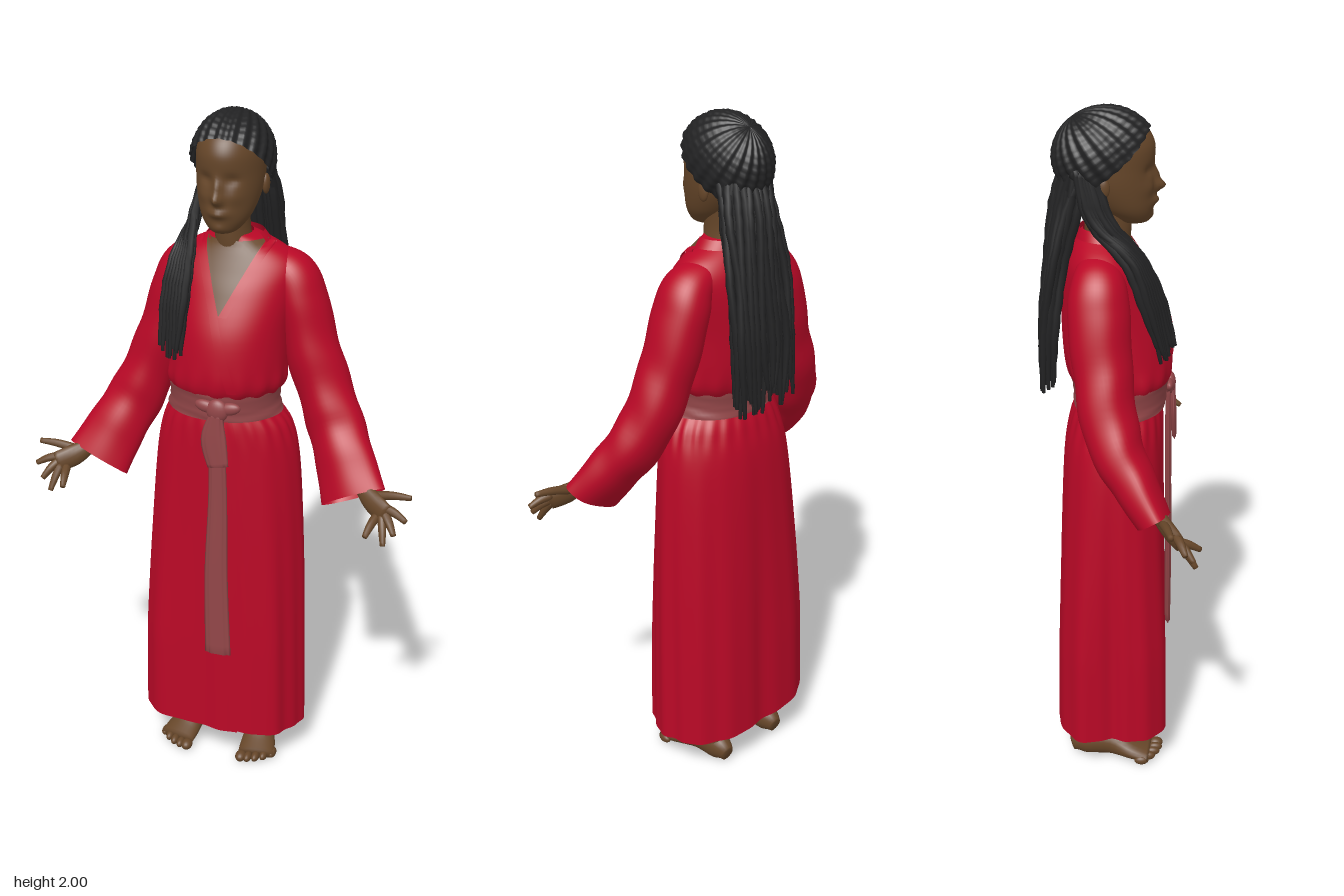
import * as THREE from 'three';
import { mergeVertices } from 'three/addons/utils/BufferGeometryUtils.js';

const flat = (name, color) => Object.assign(new THREE.MeshStandardMaterial({ color, side: THREE.DoubleSide }), { name });

// Smooth sampling of rows of numbers, t from 0 to 1
function sample(keys, t) {
  const f = t * (keys.length - 1), i = Math.min(Math.floor(f), keys.length - 2), s = f - i;
  const at = k => keys[Math.max(0, Math.min(keys.length - 1, k))];
  const [a, b, c, d] = [at(i - 1), at(i), at(i + 1), at(i + 2)];
  return b.map((_, k) => b[k] + 0.5 * s * (c[k] - a[k] + s * (2 * a[k] - 5 * b[k] + 4 * c[k] - d[k] + s * (3 * (b[k] - c[k]) + d[k] - a[k]))));
}

// Surface from a point rule over rows and columns
function grid(point, rows, cols) {
  const pos = [], index = [];
  for (let i = 0; i <= rows; i++) for (let j = 0; j <= cols; j++) pos.push(...point(i / rows, j / cols));
  for (let i = 0; i < rows; i++) for (let j = 0; j < cols; j++) {
    const a = i * (cols + 1) + j, c = a + cols + 1;
    index.push(a, a + 1, c, a + 1, c + 1, c);
  }
  let g = new THREE.BufferGeometry();
  g.setAttribute('position', new THREE.Float32BufferAttribute(pos, 3));
  g.setIndex(index);
  g = mergeVertices(g, 1e-5);
  g.computeVertexNormals();
  return g;
}

// Upright form from rings [y, centre x, half width, front z, back z]; angle 0 is the front
function loft(keys, rows, cols, fold = () => 1, from = 0, length = Math.PI * 2, rise = () => 0) {
  return grid((v, u) => {
    const [y, cx, rx, zf, zb] = sample(keys, v), p = from + u * length;
    const r = fold(p, y, u), cz = (zf + zb) / 2;
    return [cx + Math.sin(p) * rx * r, y + rise(p, y), cz + Math.cos(p) * (zf - zb) / 2 * r];
  }, rows, cols);
}

// Tapered sweep through rows [x, y, z, radius across, radius deep]
function sweep(keys, rows, cols, { cap = true, up = [0, 0, 1], fold = () => 1 } = {}) {
  const ref = new THREE.Vector3(...up);
  const centre = t => new THREE.Vector3(...sample(keys, t).slice(0, 3));
  return grid((w, u) => {
    let t = w, k = 1;
    if (cap) {
      const i = Math.round(w * rows);
      t = Math.min(1, Math.max(0, (i - 1) / (rows - 2)));
      k = i === 0 || i === rows ? 0 : 1;
    }
    const T = centre(Math.min(1, t + 0.01)).sub(centre(Math.max(0, t - 0.01))).normalize();
    const V = ref.clone().addScaledVector(T, -T.dot(ref)).normalize(), U = V.clone().cross(T);
    const [, , , a, b] = sample(keys, t), p = u * Math.PI * 2, r = k * fold(p, t);
    return centre(t).addScaledVector(U, Math.cos(p) * a * r).addScaledVector(V, Math.sin(p) * b * r).toArray();
  }, rows, cols);
}

const torsoKeys = [
  [1.18, -0.02, 0.145, 0.12, -0.105], [1.22, -0.02, 0.15, 0.135, -0.115], [1.26, -0.015, 0.17, 0.155, -0.135],
  [1.32, -0.01, 0.167, 0.157, -0.147], [1.42, -0.005, 0.165, 0.142, -0.152], [1.52, 0, 0.175, 0.1, -0.15],
  [1.58, 0, 0.18, 0.067, -0.14], [1.62, 0, 0.148, 0.045, -0.124], [1.65, 0, 0.09, 0.03, -0.105], [1.668, -0.005, 0.05, 0.03, -0.09]];

// Front of the torso at a given x and y
function chestZ(x, y) {
  let lo = 0, hi = 1;
  for (let i = 0; i < 24; i++) { const m = (lo + hi) / 2; sample(torsoKeys, m)[0] < y ? lo = m : hi = m; }
  const [, cx, rx, zf, zb] = sample(torsoKeys, lo);
  return (zf + zb) / 2 + (zf - zb) / 2 * Math.sqrt(Math.max(0, 1 - ((x - cx) / rx) ** 2));
}
const chestPatch = (y0, y1, left, right, lift) => grid((v, u) => {
  const y = y0 + (y1 - y0) * v, x = left(v) + (right(v) - left(v)) * u;
  return [x, y, chestZ(x, y) + lift];
}, 20, 10);

export function createModel() {
  const model = new THREE.Group();
  model.name = 'robedWoman';
  const red = flat('robe red', 0xb90826), rose = flat('sash rose', 0x924648);
  const skin = flat('brown skin', 0x664629), black = flat('black hair', 0x222223);
  const add = (name, geometry, material, parent = model) => {
    const m = new THREE.Mesh(geometry, material);
    m.name = name;
    parent.add(m);
    return m;
  };
  const ball = (name, material, p, s, parent) => {
    const m = add(name, new THREE.SphereGeometry(1, 20, 14), material, parent);
    m.position.set(...p);
    m.scale.set(...s);
    return m;
  };
  let seed = 7;
  const rand = () => (seed = (seed * 16807) % 2147483647) / 2147483647;

  // Skirt: one cloth wrapped past itself at the front, boxier on the right, folds growing towards an uneven hem
  const skirtKeys = [
    [0.11, -0.015, 0.24, 0.15, -0.175], [0.4, -0.015, 0.235, 0.146, -0.17], [0.7, -0.015, 0.228, 0.141, -0.163],
    [1.0, -0.015, 0.212, 0.136, -0.15], [1.12, -0.015, 0.188, 0.133, -0.13], [1.18, -0.02, 0.155, 0.125, -0.108], [1.22, -0.02, 0.145, 0.12, -0.1]];
  const skirtFold = (p, y, u) => {
    const d = Math.min(1, (1.22 - y) / 0.8);
    return 1 + d * (0.018 * Math.sin(9 * p + 1) + 0.011 * Math.sin(17 * p + y) + (0.14 - 0.11 * Math.sin(p)) * Math.sin(2 * p) ** 2)
      + 0.014 * Math.exp(-(((y - 1.13) / 0.05) ** 2)) * Math.sin(24 * p) - 0.07 * Math.max(0, 1 - u * 10);
  };
  const hemRise = (p, y) => Math.max(0, (0.4 - y) / 0.29) * (0.014 - 0.014 * Math.sin(p));
  add('skirt', loft(skirtKeys, 40, 180, skirtFold, 0.02, Math.PI * 2 + 0.3, hemRise), red);

  // Bodice, bloused over the sash
  add('bodice', loft(torsoKeys, 40, 96, (p, y) => 1 + 0.018 * Math.exp(-(((y - 1.25) / 0.05) ** 2)) * Math.sin(16 * p)), red);

  // Open neckline and crossed lapels
  const L = v => -0.075 * v, R = v => 0.09 * v;
  add('necklineSkin', chestPatch(1.47, 1.655, L, R, 0.004), skin);
  add('rightLapel', chestPatch(1.47, 1.65, v => L(v) - 0.024, L, 0.008), red);
  add('leftLapel', chestPatch(1.47, 1.65, R, v => R(v) + 0.024, 0.008), red);
  add('wrapEdge', chestPatch(1.26, 1.47, v => 0.035 - 0.06 * v, v => 0.06 - 0.06 * v, 0.008), red);
  add('backCollar', loft([[1.615, 0, 0.118, 0.045, -0.118], [1.648, 0, 0.094, 0.04, -0.108], [1.672, 0, 0.075, 0.035, -0.1]], 6, 40, () => 1, 1.25, Math.PI * 2 - 2.5), red);

  // Sash with knot, bow and hanging ends
  add('sash', loft([[1.165, -0.02, 0.168, 0.14, -0.122], [1.2, -0.02, 0.158, 0.143, -0.12], [1.245, -0.02, 0.162, 0.149, -0.127]], 8, 72,
    (p, y) => 1 + 0.01 * Math.sin(y * 220 + 2 * Math.sin(p * 3))), rose);
  ball('sashKnot', rose, [0.005, 1.205, 0.152], [0.032, 0.034, 0.018]);
  for (const s of [-1, 1]) ball('bowLoop', rose, [0.005 + s * 0.033, 1.213, 0.148], [0.034, 0.018, 0.014]).rotation.z = s * 0.2;
  const ripple = { fold: p => 1 + 0.12 * Math.cos(6 * p) };
  add('longSashEnd', sweep([[0, 1.2, 0.15, 0.02, 0.009], [0.005, 0.95, 0.152, 0.025, 0.009], [0, 0.68, 0.156, 0.032, 0.009], [0.005, 0.41, 0.158, 0.036, 0.008]], 20, 24, ripple), rose);
  add('shortSashEnd', sweep([[0.005, 1.2, 0.16, 0.016, 0.008], [-0.002, 1.12, 0.164, 0.034, 0.008], [0.012, 1.04, 0.168, 0.028, 0.006]], 12, 24, ripple), rose);

  // Arms: flared sleeve, palm and spread fingers
  for (const s of [1, -1]) {
    const arm = new THREE.Group();
    arm.name = s > 0 ? 'leftArm' : 'rightArm';
    model.add(arm);
    const side = keys => keys.map(([x, ...r]) => [x * s, ...r]);
    add('sleeve', sweep(side([[0.1, 1.595, -0.05, 0.04, 0.055], [0.153, 1.552, -0.05, 0.066, 0.075], [0.183, 1.48, -0.05, 0.072, 0.084], [0.225, 1.33, -0.04, 0.076, 0.08],
      [0.29, 1.17, -0.015, 0.08, 0.075], [0.345, 1.06, 0.042, 0.086, 0.063], [0.386, 0.973, 0.092, 0.096, 0.05]]), 48, 48,
    { cap: false, fold: (p, t) => 1 + 0.035 * Math.sin(t * 38 + 2 * Math.sin(p)) * Math.exp(-(((t - 0.62) / 0.2) ** 2)) + 0.025 * t * Math.sin(5 * p) }), red, arm);
    add('forearm', sweep(side([[0.3, 1.14, 0.01, 0.035, 0.035], [0.37, 1.05, 0.07, 0.028, 0.028], [0.43, 0.995, 0.113, 0.022, 0.018]]), 10, 16), skin, arm);
    add('palm', sweep(side([[0.41, 1.01, 0.1, 0.022, 0.018], [0.45, 0.985, 0.127, 0.032, 0.019], [0.493, 0.967, 0.155, 0.031, 0.014]]), 10, 16), skin, arm);
    const fingers = [['thumb', [0.45, 1.0, 0.115], [0.555, 1.017, 0.13]], ['indexFinger', [0.49, 0.985, 0.148], [0.552, 0.962, 0.168]],
      ['middleFinger', [0.49, 0.97, 0.153], [0.525, 0.927, 0.192]], ['ringFinger', [0.482, 0.96, 0.155], [0.498, 0.895, 0.2]], ['littleFinger', [0.465, 0.955, 0.15], [0.45, 0.922, 0.215]]];
    for (const [name, a, b] of fingers) {
      const mid = a.map((v, i) => (v + b[i]) / 2 + (i === 1 ? 0.004 : 0));
      add(name, sweep(side([[...a, 0.013, 0.013], [...mid, 0.0115, 0.0115], [...b, 0.0075, 0.0075]]), 9, 10), skin, arm);
    }
  }

  // Legs and bare feet, turned slightly out
  for (const s of [1, -1]) {
    const leg = new THREE.Group();
    leg.name = s > 0 ? 'leftLeg' : 'rightLeg';
    leg.position.x = s > 0 ? 0.082 : -0.13;
    model.add(leg);
    add('shin', sweep([[0, 0.04, -0.085, 0.036, 0.042], [0, 0.12, -0.075, 0.036, 0.042], [0, 0.32, -0.07, 0.05, 0.055], [0, 0.6, -0.04, 0.06, 0.065]], 16, 20), skin, leg);
    add('foot', sweep([[0, 0.032, -0.138, 0.02, 0.024], [0, 0.044, -0.1, 0.036, 0.044], [s * 0.004, 0.046, -0.02, 0.04, 0.045], [s * 0.018, 0.029, 0.05, 0.053, 0.029],
      [s * 0.026, 0.019, 0.1, 0.056, 0.019]], 18, 24, { up: [0, 1, 0] }), skin, leg);
    for (let i = 0; i < 5; i++) ball('toe', skin, [s * (-0.016 + i * 0.022), 0.016, 0.122 - i * i * 0.003], [i ? 0.012 : 0.017, i ? 0.014 : 0.016, 0.022], leg);
  }

  // Neck and head, the face shaped by soft bumps
  add('neck', loft([[1.55, -0.005, 0.065, 0.02, -0.1], [1.62, -0.005, 0.054, 0.036, -0.088], [1.69, -0.01, 0.047, 0.042, -0.085], [1.77, -0.01, 0.05, 0.04, -0.09]], 14, 32), skin);
  const head = loft([[1.685, -0.01, 0.002, 0.06, 0.05], [1.69, -0.01, 0.032, 0.085, 0.01], [1.71, -0.01, 0.054, 0.095, -0.02], [1.74, -0.01, 0.072, 0.1, -0.06], [1.79, -0.01, 0.086, 0.1, -0.105],
    [1.84, -0.01, 0.091, 0.1, -0.125], [1.9, -0.01, 0.09, 0.102, -0.135], [1.947, -0.01, 0.072, 0.074, -0.11], [1.972, -0.01, 0.035, 0.02, -0.06], [1.977, -0.01, 0.002, -0.01, -0.02]], 64, 72);
  const bumps = [[0, 1.785, 0.03, 0.014, 0.016], [0, 1.815, 0.014, 0.011, 0.022], [0, 1.747, 0.014, 0.026, 0.012], [0, 1.705, 0.006, 0.02, 0.012],
    [0.036, 1.835, -0.01, 0.02, 0.014], [-0.036, 1.835, -0.01, 0.02, 0.014], [0.045, 1.79, 0.006, 0.02, 0.02], [-0.045, 1.79, 0.006, 0.02, 0.02]];
  const hp = head.attributes.position;
  for (let i = 0; i < hp.count; i++) if (hp.getZ(i) > 0.02) {
    const x = hp.getX(i) + 0.01, y = hp.getY(i);
    hp.setZ(i, bumps.reduce((z, [bx, by, a, sx, sy]) => z + a * Math.exp(-(((x - bx) / sx) ** 2) - ((y - by) / sy) ** 2), hp.getZ(i)));
  }
  head.computeVertexNormals();
  add('head', head, skin);
  for (const s of [1, -1]) ball('ear', skin, [-0.01 + s * 0.09, 1.802, -0.035], [0.01, 0.028, 0.017]);

  // Braided cap: ridges run from the hairline to the crown, lower at the sides and nape
  const tilt = new THREE.Euler(-0.65, 0, 0);
  add('braidedCap', grid((v, u) => {
    const p = u * Math.PI * 2, a = (1 - v) * (1.6 + 0.1 * (1 - Math.cos(p)) + 0.09 * Math.sin(p) ** 2);
    const r = 1 + Math.sin(a) * (0.026 * Math.cos(22 * p) + 0.008 * Math.cos(a * 40));
    const d = new THREE.Vector3(Math.sin(a) * Math.sin(p), Math.cos(a), Math.sin(a) * Math.cos(p)).multiplyScalar(r).applyEuler(tilt);
    return [-0.01 + d.x * 0.111, 1.866 + d.y * 0.13, -0.028 + d.z * 0.142];
  }, 40, 198), black);

  // Loose braids down the back
  const knots = { fold: (p, t) => 1 + 0.12 * Math.sin(t * 90 + p) };
  for (let layer = 0; layer < 3; layer++) for (let i = 0; i < 11; i++) {
    const s = (i + (layer % 2) * 0.5) / 5.25 - 1, j = () => (rand() - 0.5) * 0.02, o = layer * 0.015 - s * s * 0.008;
    add('backBraid', sweep([[-0.008 + s * 0.08, 1.84, -0.085 - 0.055 * Math.sqrt(Math.max(0, 1 - s * s)), 0.012, 0.012],
      [s * 0.09 + j(), 1.74, -0.11 - o - 0.03 * (1 - s * s), 0.012, 0.012], [s * 0.097 + j(), 1.58, -0.15 - o - 0.01 * (1 - s * s), 0.011, 0.011],
      [s * 0.102 + j(), 1.4, -0.176 - o, 0.011, 0.011], [s * 0.097 + j(), 1.19 + rand() * 0.09, -0.181 - o, 0.005, 0.005]], 26, 7, knots), black);
  }

  // Braids falling over the right shoulder
  for (let i = 0; i < 14; i++) {
    const a = (i % 7) / 3 - 1, o = i < 7 ? 0 : 0.016, j = () => (rand() - 0.5) * 0.012;
    add('shoulderBraid', sweep([[-0.095, 1.84 - 0.01 * a, -0.08 + a * 0.025, 0.011, 0.011], [-0.112 - o * 0.5 + j(), 1.72, -0.045 + a * 0.03, 0.011, 0.011],
      [-0.128 + a * 0.025, 1.61 + o * 0.5, 0.035 + o + a * 0.015, 0.011, 0.011], [-0.136 + a * 0.036, 1.5, 0.086 + o + a * 0.02, 0.011, 0.011],
      [-0.138 + a * 0.033 + j(), 1.32 + rand() * 0.06, 0.125 + o + a * 0.018, 0.005, 0.005]], 24, 7, knots), black);
  }
  return model;
}
